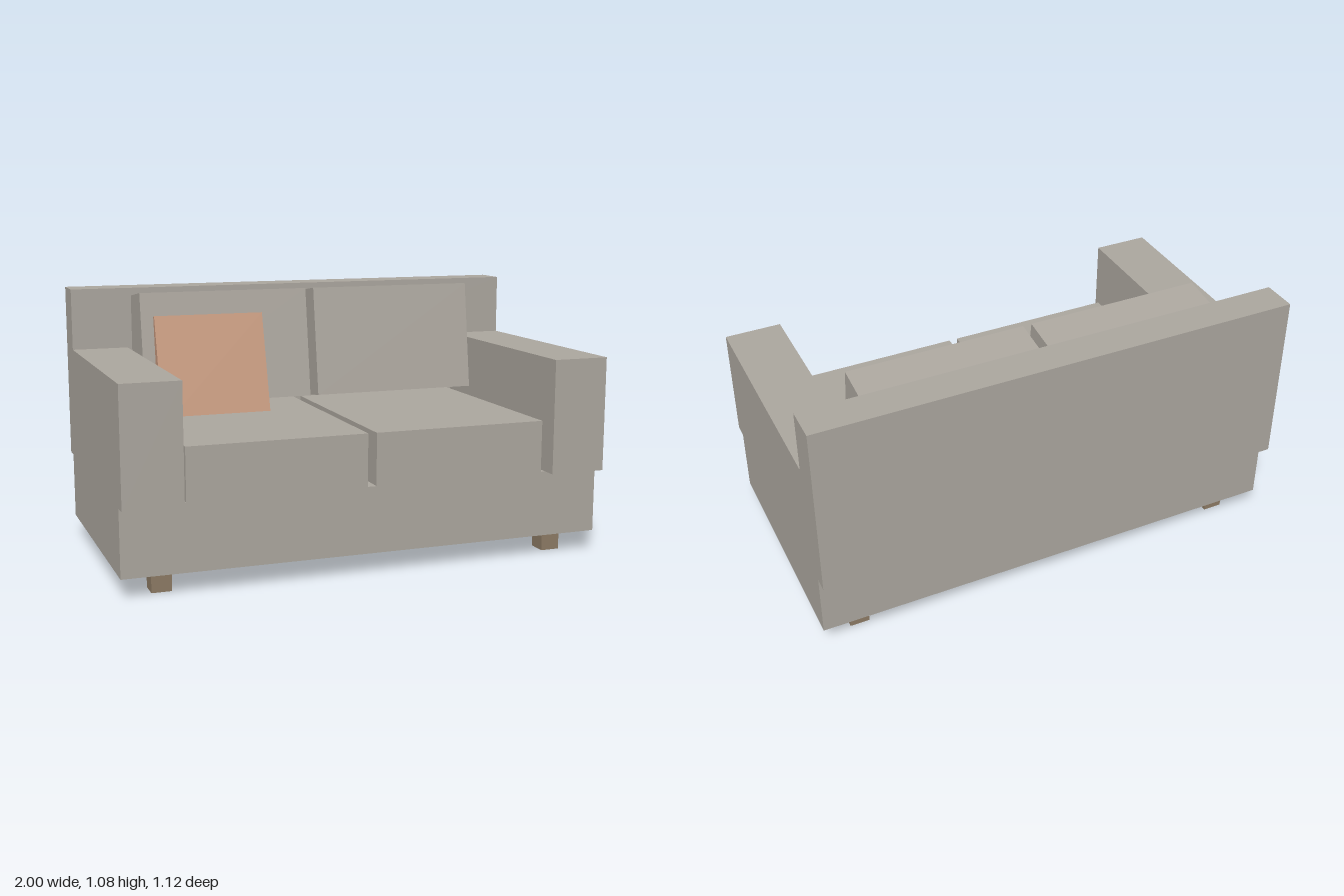
import * as THREE from 'three';

export function createModel() {
  const sofa = new THREE.Group();
  sofa.name = 'sofa';

  const material = (name, color) => {
    const m = new THREE.MeshStandardMaterial({ color });
    m.name = name;
    return m;
  };
  const fabric = material('greyFabric', 0xaba69e);
  const terracotta = material('terracottaFabric', 0xc4977c);
  const wood = material('legWood', 0x8c7a64);

  // Box given by its lower and upper limits on each axis
  const block = (name, mat, [x0, x1], [y0, y1], [z0, z1]) => {
    const mesh = new THREE.Mesh(new THREE.BoxGeometry(x1 - x0, y1 - y0, z1 - z0), mat);
    mesh.position.set((x0 + x1) / 2, (y0 + y1) / 2, (z0 + z1) / 2);
    mesh.name = name;
    sofa.add(mesh);
  };

  // Box leaning backwards, placed by the middle of its top front edge
  const leaning = (name, mat, [w, h, d], [x, y, z], degrees) => {
    const geometry = new THREE.BoxGeometry(w, h, d).translate(0, -h / 2, -d / 2);
    const mesh = new THREE.Mesh(geometry, mat);
    mesh.position.set(x, y, z);
    mesh.rotation.x = -THREE.MathUtils.degToRad(degrees);
    mesh.name = name;
    sofa.add(mesh);
  };

  // Frame
  block('base', fabric, [-1, 1], [0.084, 0.355], [-0.5, 0.5]);
  block('backrest', fabric, [-1, 1], [0.355, 1.08], [-0.56, -0.415]);

  // Arms, seats, back cushions and legs, mirrored
  for (const [side, s] of [['left', 1], ['right', -1]]) {
    const span = (a, b) => (s > 0 ? [a, b] : [-b, -a]);
    block(side + 'Arm', fabric, span(0.766, 1), [0.355, 0.825], [-0.415, 0.56]);
    block(side + 'SeatCushion', fabric, span(0.018, 0.746), [0.355, 0.568], [-0.415, 0.5]);
    leaning(side + 'BackCushion', fabric, [0.728, 0.466, 0.25], [s * 0.382, 1.072, -0.24], 8);
    block(side + 'FrontLeg', wood, span(0.793, 0.873), [0, 0.084], [0.361, 0.441]);
    block(side + 'BackLeg', wood, span(0.793, 0.873), [0, 0.084], [-0.441, -0.361]);
  }

  // Loose pillow resting on the right back cushion
  leaning('throwPillow', terracotta, [0.468, 0.468, 0.1], [-0.459, 0.977, -0.21], 15);

  return sofa;
}
